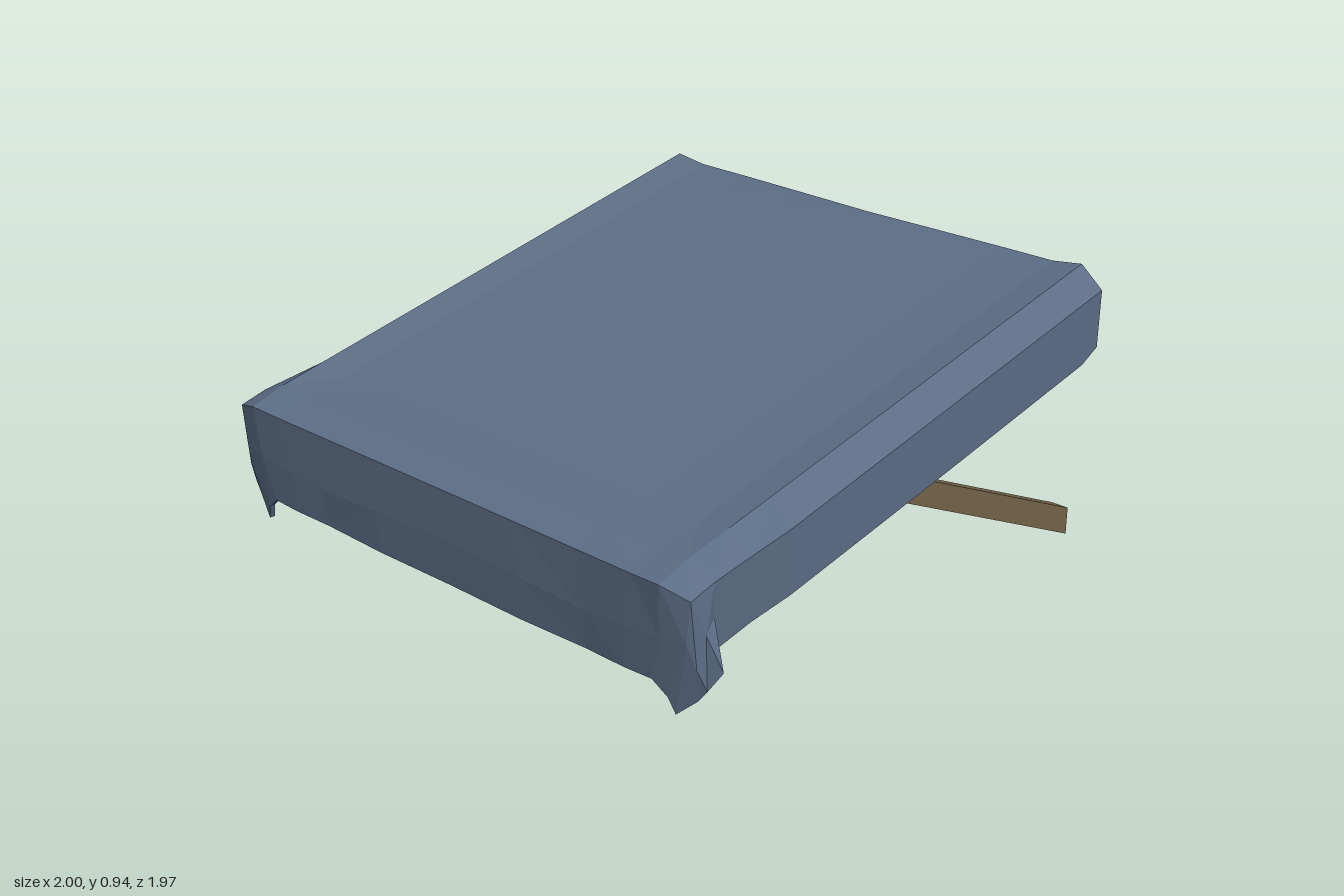
import * as THREE from 'three';

const wood = new THREE.MeshStandardMaterial({ color: 0x75634a, flatShading: true });
const cloth = new THREE.MeshStandardMaterial({ color: 0x5b6d85, flatShading: true, side: THREE.DoubleSide });
const CLOTH_THICKNESS = 0.016;

// Height of the sloping roof edge at depth z
const roofY = z => 0.767 - 0.178 * z;

// Half cross-section of the cover, from the centre line out to the side hem
function roofRow(z, sag, hem, out = 0, drop = 0.068) {
  const y = roofY(z), shoulder = y - drop;
  return [
    [0, y - sag, z], [0.3, y - sag, z], [0.55, y - sag, z], [0.74, y - sag * 0.8, z],
    [0.85, y, z], [0.93 + out, shoulder, z], [0.929 + out, (shoulder + hem) / 2, z], [0.928 + out, hem, z],
  ];
}

function buildCover() {
  const back = roofRow(-0.97, 0.022, 0.68);
  [-0.97, -0.978, -0.984, -0.975].forEach((z, i) => { back[i][2] = z; });
  const rows = [
    back,
    roofRow(-0.89, 0.022, 0.643),
    roofRow(-0.2, 0.022, 0.522),
    roofRow(0.53, 0.022, 0.398),
    roofRow(0.7, 0.022, 0.385, 0.003, 0.055),
    roofRow(0.86, 0.008, 0.365, 0.01, 0.04),
    // Front edge, middle of the front valance, and its hem, with flared corners
    [[0, 0.572, 0.97], [0.3, 0.572, 0.97], [0.55, 0.573, 0.972], [0.74, 0.575, 0.975],
      [0.85, 0.58, 0.98], [0.94, 0.552, 0.955], [0.955, 0.44, 0.91], [1.0, 0.335, 0.89]],
    [[0, 0.41, 0.966], [0.3, 0.4, 0.968], [0.55, 0.39, 0.965], [0.7, 0.4, 0.968],
      [0.84, 0.41, 0.966], [0.925, 0.42, 0.955], [0.945, 0.34, 0.935], [0.96, 0.27, 0.91]],
    [[0, 0.26, 0.955], [0.3, 0.26, 0.958], [0.55, 0.262, 0.952], [0.7, 0.264, 0.957],
      [0.8, 0.267, 0.955], [0.85, 0.225, 0.945], [0.87, 0.175, 0.935], [0.93, 0.23, 0.915]],
  ];
  const positions = [], index = [];
  for (const row of rows) {
    const mirrored = row.slice(1).reverse().map(([x, y, z]) => [-x, y, z]);
    for (const p of [...mirrored, ...row]) positions.push(...p);
  }
  const n = rows[0].length * 2 - 1, m = rows.length;
  for (let v = 0; v < m - 1; v++) {
    for (let u = 0; u < n - 1; u++) {
      const a = v * n + u, b = a + 1, c = a + n, d = c + 1;
      // Mirror the diagonals as well
      if (u < (n - 1) / 2) index.push(a, c, b, b, c, d);
      else index.push(a, c, d, a, d, b);
    }
  }
  const outer = new THREE.BufferGeometry();
  outer.setAttribute('position', new THREE.Float32BufferAttribute(positions, 3));
  outer.setIndex(index);
  outer.computeVertexNormals();

  // Inner face of the cloth: the same grid moved inwards and turned over
  const normals = outer.attributes.normal.array;
  const inner = positions.map((p, i) => p - normals[i] * CLOTH_THICKNESS);
  const count = n * m, faces = [...index];
  for (let i = 0; i < index.length; i += 3) faces.push(index[i] + count, index[i + 2] + count, index[i + 1] + count);

  // Hem joining both faces all the way round
  const hem = [];
  for (let u = 0; u < n - 1; u++) hem.push(u);
  for (let v = 0; v < m - 1; v++) hem.push(v * n + n - 1);
  for (let u = n - 1; u > 0; u--) hem.push((m - 1) * n + u);
  for (let v = m - 1; v > 0; v--) hem.push(v * n);
  hem.forEach((a, i) => {
    const b = hem[(i + 1) % hem.length];
    faces.push(a, b, b + count, a, b + count, a + count);
  });

  const geometry = new THREE.BufferGeometry();
  geometry.setAttribute('position', new THREE.Float32BufferAttribute([...positions, ...inner], 3));
  geometry.setIndex(faces);
  geometry.computeVertexNormals();
  return geometry;
}

// Timber with a side outline given as [z, y] points, extruded across x
function timber(name, outline, x0, x1) {
  const shape = new THREE.Shape(outline.map(([z, y]) => new THREE.Vector2(-z, y)));
  const geometry = new THREE.ExtrudeGeometry(shape, { depth: x1 - x0, bevelEnabled: false });
  geometry.rotateY(Math.PI / 2);
  geometry.translate(x0, 0, 0);
  const mesh = new THREE.Mesh(geometry, wood);
  mesh.name = name;
  return mesh;
}

// Sloping bar outline lying just beneath the cover
function slopedBar(z0, z1, top, bottom) {
  return [[z0, roofY(z0) - bottom], [z1, roofY(z1) - bottom], [z1, roofY(z1) - top], [z0, roofY(z0) - top]];
}

export function createModel() {
  const group = new THREE.Group();
  group.name = 'awning';

  const cover = new THREE.Mesh(buildCover(), cloth);
  cover.name = 'clothCover';
  group.add(cover);

  // Side rails and the slanted struts that carry them
  for (const [side, x0, x1] of [['left', 0.81, 0.87], ['right', -0.87, -0.81]]) {
    group.add(timber(side + 'Rail', slopedBar(0.94, -0.965, 0.035, 0.105), x0, x1));
    group.add(timber(side + 'Strut', [[0.27, 0.607], [-0.97, 0], [-0.97, 0.095], [0.13, 0.625]], x0, x1));
  }
  group.add(timber('frontRail', slopedBar(0.94, 0.88, 0.035, 0.105), -0.81, 0.81));

  return group;
}
